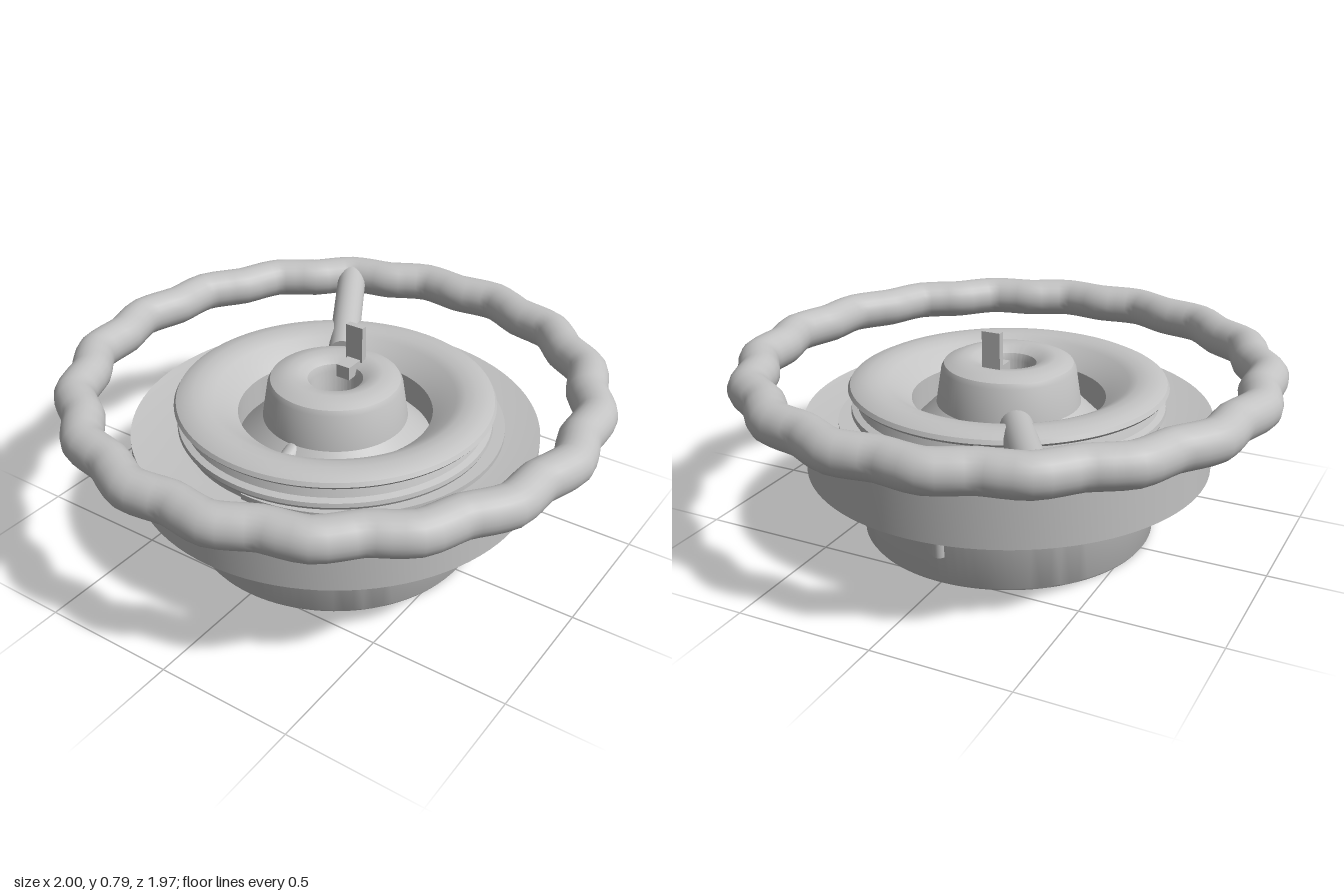
import * as THREE from 'three';
import { toCreasedNormals } from 'three/addons/utils/BufferGeometryUtils.js';

export function createModel() {
  const model = new THREE.Group();
  const metal = new THREE.MeshStandardMaterial({ color: 0xc2c2c2 });

  const add = (name, geometry, x = 0, y = 0, z = 0) => {
    const mesh = new THREE.Mesh(geometry, metal);
    mesh.name = name;
    mesh.position.set(x, y, z);
    model.add(mesh);
    return mesh;
  };

  // Round bar running between two points
  const bar = (name, from, to, radius) => {
    const a = new THREE.Vector3(...from), b = new THREE.Vector3(...to);
    const mesh = add(name, new THREE.CylinderGeometry(radius, radius, a.distanceTo(b), 24));
    mesh.position.copy(a).add(b).multiplyScalar(0.5);
    mesh.quaternion.setFromUnitVectors(new THREE.Vector3(0, 1, 0), b.sub(a).normalize());
  };

  // Turned body: hub, web, open skirt, flange, grooved neck and rounded lip,
  // as one closed profile of radius and height
  const profile = [
    [0.09, 0.12], [0.12, 0.09], [0.14, 0.08], [0.2, 0.08], [0.22, 0.1], // hub foot
    [0.22, 0.24], [0.49, 0.22], [0.515, 0.01], [0.525, 0], // web underside and skirt inside
    [0.535, 0], [0.542, 0.01], [0.557, 0.27], // skirt outside
    [0.745, 0.27], [0.745, 0.457], [0.58, 0.43], // flange
    [0.55, 0.43], [0.55, 0.462], [0.57, 0.465], [0.575, 0.475], [0.572, 0.49], [0.55, 0.498], // lower bead
    [0.535, 0.54], [0.575, 0.55], [0.583, 0.56], // neck groove
    [0.575, 0.574], [0.55, 0.586], [0.51, 0.592], [0.47, 0.588], [0.437, 0.575], // lip
    [0.355, 0.51], [0.355, 0.4], // bowl
    [0.265, 0.49], [0.245, 0.62], [0.235, 0.638], [0.21, 0.65], // hub wall
    [0.17, 0.66], [0.13, 0.655], [0.1, 0.635], [0.09, 0.61], [0.09, 0.12], // hub crown and bore
  ].map(([r, y]) => new THREE.Vector2(r, y));
  add('wheelBody', toCreasedNormals(new THREE.LatheGeometry(profile, 96), 0.6));

  // Spiral cam step on top of the flange, narrowing from back to front
  const cam = new THREE.Shape();
  const steps = 40;
  for (let i = 0; i <= steps; i++) {
    const t = i / steps, a = Math.PI / 2 - Math.PI * t, r = 0.65 - 0.09 * t;
    cam[i ? 'lineTo' : 'moveTo'](r * Math.cos(a), r * Math.sin(a));
  }
  cam.absarc(0, 0, 0.54, -Math.PI / 2, Math.PI / 2, false);
  const camGeometry = new THREE.ExtrudeGeometry(cam, { depth: 0.05, bevelEnabled: false, curveSegments: 40 });
  camGeometry.rotateX(-Math.PI / 2);
  add('camStep', toCreasedNormals(camGeometry, 0.6), 0, 0.402, 0);

  // Wavy hand ring with eighteen finger grips
  const points = [];
  for (let i = 0; i < 72; i++) {
    const a = (i / 72) * Math.PI * 2, r = 0.911 + 0.015 * Math.cos(18 * a);
    points.push(new THREE.Vector3(r * Math.cos(a), 0, r * Math.sin(a)));
  }
  const path = new THREE.CatmullRomCurve3(points, true);
  add('handRing', new THREE.TubeGeometry(path, 144, 0.074, 24, true), 0, 0.615, 0);

  // Single spoke from the bowl to the ring
  const spokeAt = (r, y) => [-r * 0.5, y, -r * 0.866];
  bar('spoke', spokeAt(0.37, 0.535), spokeAt(0.925, 0.62), 0.058);

  // Upright pointer with a key reaching into the bore
  add('pointer', new THREE.BoxGeometry(0.07, 0.19, 0.025), 0, 0.695, -0.132);
  add('pointerKey', new THREE.BoxGeometry(0.055, 0.05, 0.075), 0, 0.635, -0.085);

  // Small radial pins joining hub and bowl, front and back
  for (const side of [-1, 1]) {
    bar('radialPin', [0, 0.47, side * 0.24], [0, 0.42, side * 0.36], 0.032);
  }

  // Index rib on the back of the skirt
  bar('indexRib', [0, 0.11, -0.538], [0, 0.28, -0.548], 0.025);

  return model;
}
